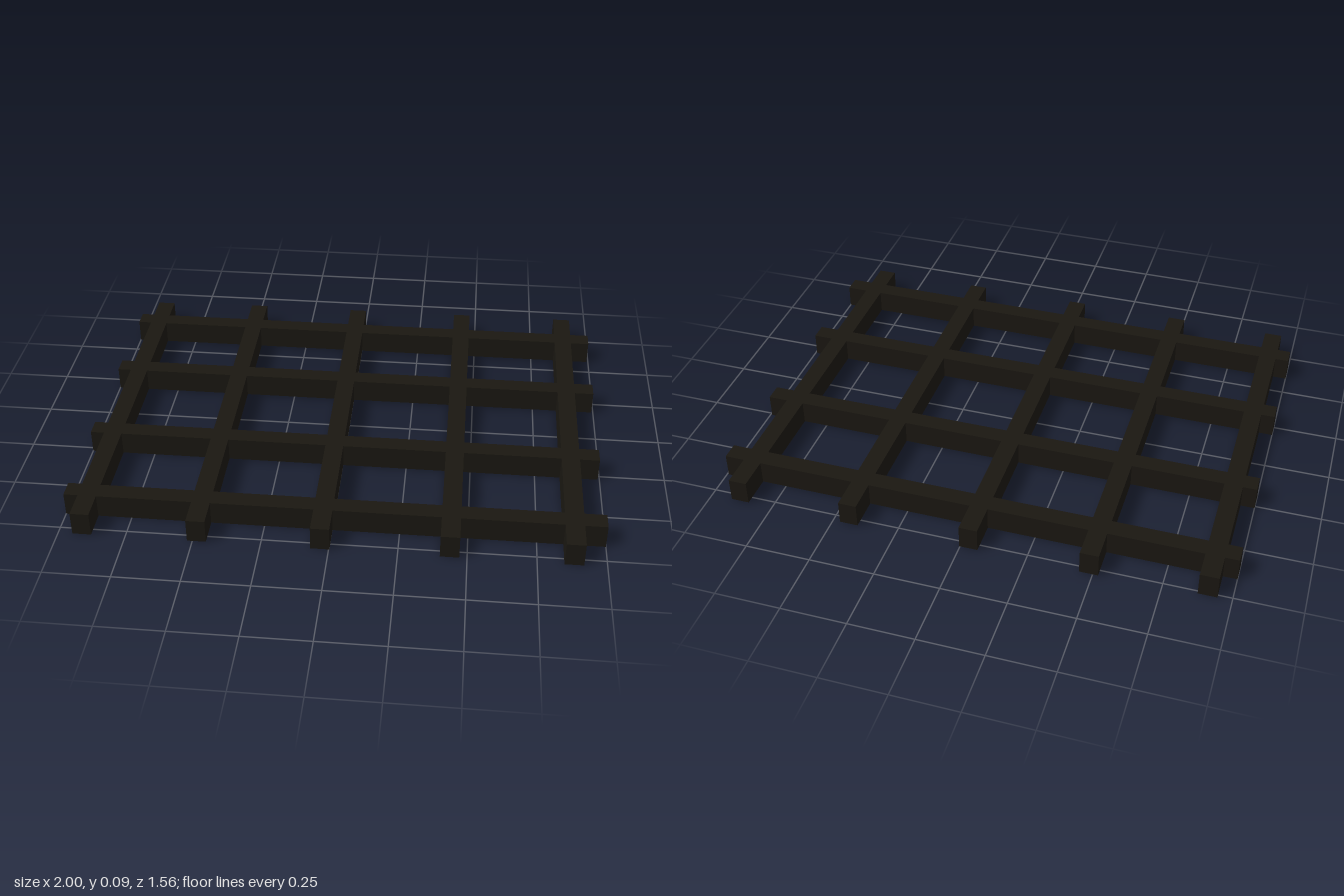
import * as THREE from 'three';

export function createModel() {
  const model = new THREE.Group();
  model.name = 'lattice';
  const material = new THREE.MeshStandardMaterial({ color: 0x1a1711 });
  const width = 0.07, height = 0.092;

  function addBar(name, x0, x1, z0, z1) {
    const bar = new THREE.Mesh(new THREE.BoxGeometry(x1 - x0, height, z1 - z0), material);
    bar.position.set((x0 + x1) / 2, height / 2, (z0 + z1) / 2);
    bar.name = name;
    model.add(bar);
  }

  // Bars running left to right: [centre z, right-hand end x]
  [[-0.618, 0.993], [-0.225, 0.993], [0.235, 0.993], [0.635, 1]].forEach(([z, end], i) =>
    addBar(`crossBar${i + 1}`, -1, end, z - width / 2, z + width / 2));

  // Bars running front to back: [centre x, back end z]
  [[-0.912, -0.762], [-0.485, -0.777], [-0.032, -0.777], [0.437, -0.78], [0.882, -0.78]].forEach(([x, back], i) =>
    addBar(`longBar${i + 1}`, x - width / 2, x + width / 2, back, 0.78));

  return model;
}
